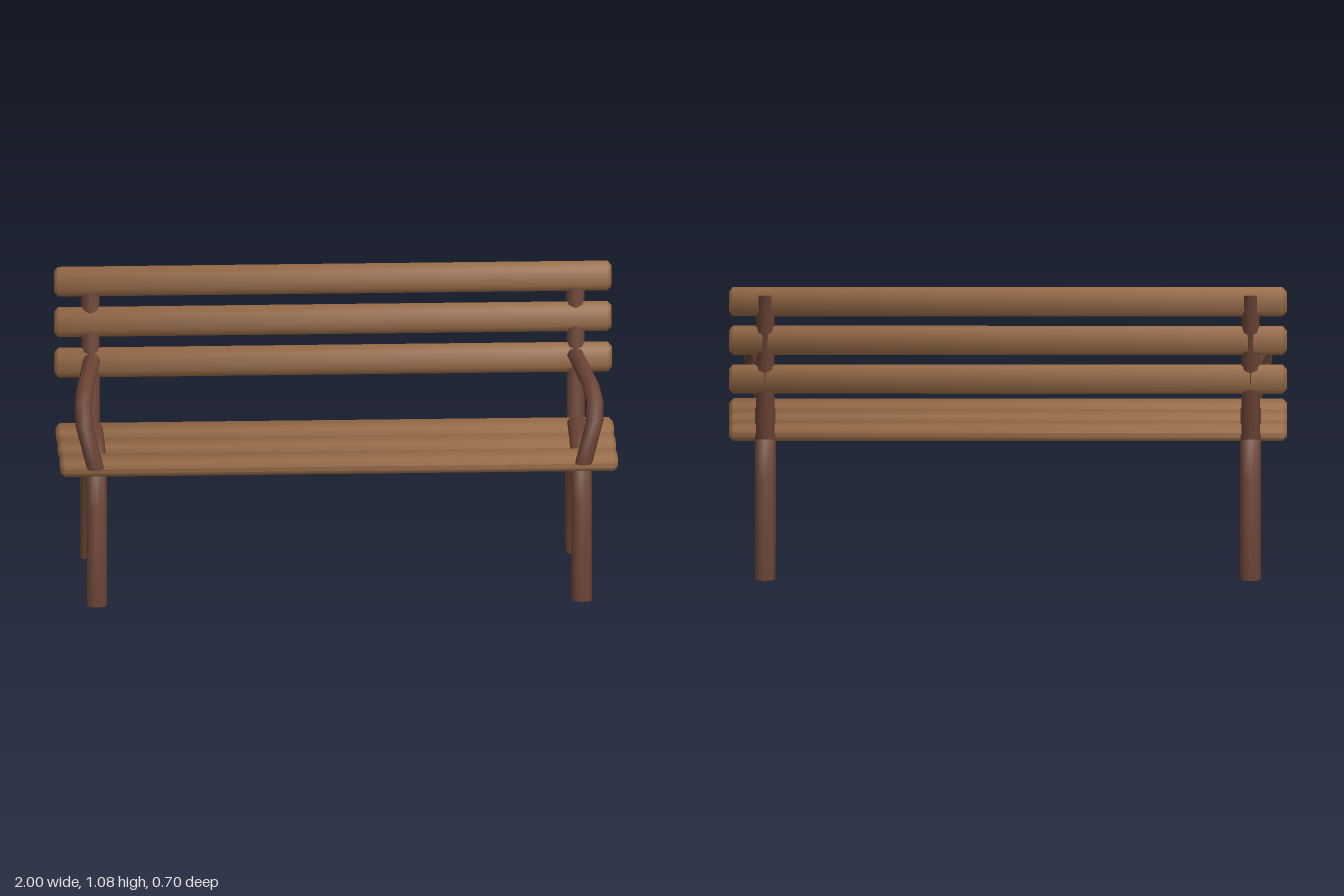
import * as THREE from 'three';
import { toCreasedNormals } from 'three/addons/utils/BufferGeometryUtils.js';

const CREASE = 1.3;

// Plank along x with chamfered long edges and bevelled ends
function plankGeometry(depth, height, chamferZ, chamferY) {
  const bevel = 0.015, length = 2;
  const w = depth / 2 - bevel, h = height / 2 - bevel;
  const cx = chamferZ - bevel * 0.59, cy = chamferY - bevel * 0.59;
  const shape = new THREE.Shape([
    [w, -h + cy], [w, h - cy], [w - cx, h], [-w + cx, h],
    [-w, h - cy], [-w, -h + cy], [-w + cx, -h], [w - cx, -h],
  ].map(([x, y]) => new THREE.Vector2(x, y)));
  const geo = new THREE.ExtrudeGeometry(shape, {
    depth: length - 2 * bevel, bevelEnabled: true,
    bevelThickness: bevel, bevelSize: bevel, bevelSegments: 1,
  });
  geo.translate(0, 0, -length / 2 + bevel);
  geo.rotateY(Math.PI / 2);
  return toCreasedNormals(geo, CREASE);
}

// Oval bar swept along points, mitred at each bend in the side plane
function barGeometry(points, halfX, halfIn, sides = 8) {
  const pos = [], index = [];
  const p = points.map((q) => new THREE.Vector3(...q));
  const dir = (a, b) => new THREE.Vector3(0, b.y - a.y, b.z - a.z).normalize();
  p.forEach((c, i) => {
    const before = dir(p[Math.max(i - 1, 0)], p[Math.max(i, 1)]);
    const last = p.length - 1;
    const after = dir(p[Math.min(i, last - 1)], p[Math.min(i + 1, last)]);
    const t = before.clone().add(after).normalize();
    const reach = halfIn / t.dot(after);
    for (let j = 0; j < sides; j++) {
      const a = (j / sides) * Math.PI * 2;
      const s = Math.sin(a) * reach;
      pos.push(c.x + Math.cos(a) * halfX, c.y + t.z * s, c.z - t.y * s);
    }
  });
  const end = (p.length - 1) * sides;
  for (let j = 0; j < sides; j++) {
    const k = (j + 1) % sides;
    for (let r = 0; r < end; r += sides) {
      index.push(r + j, r + k, r + sides + k, r + j, r + sides + k, r + sides + j);
    }
    if (j > 0 && j < sides - 1) index.push(0, k, j, end, end + j, end + k); // end caps
  }
  const geo = new THREE.BufferGeometry();
  geo.setAttribute('position', new THREE.Float32BufferAttribute(pos, 3));
  geo.setIndex(index);
  return toCreasedNormals(geo, CREASE);
}

export function createModel() {
  const bench = new THREE.Group();
  bench.name = 'bench';
  const wood = new THREE.MeshStandardMaterial({ color: 0x9a6d49 });
  wood.name = 'slat wood';
  const dark = new THREE.MeshStandardMaterial({ color: 0x6b4435 });
  dark.name = 'frame brown';

  const add = (name, geo, material, parent) => {
    const mesh = new THREE.Mesh(geo, material);
    mesh.name = name;
    parent.add(mesh);
    return mesh;
  };

  // Seat slats
  const seatGeo = plankGeometry(0.152, 0.052, 0.021, 0.019);
  [0.255, 0.065, -0.122].forEach((z) => {
    add('seatSlat', seatGeo, wood, bench).position.set(0, 0.512, z);
  });

  // Backrest slats, leaning back
  const backGeo = plankGeometry(0.047, 0.106, 0.017, 0.021);
  [[0.734, -0.276], [0.88, -0.296], [1.026, -0.314]].forEach(([y, z]) => {
    const slat = add('backSlat', backGeo, wood, bench);
    slat.position.set(0, y, z);
    slat.rotation.x = -0.14;
  });

  // Side frames, mirrored left and right
  [['left', 1], ['right', -1]].forEach(([side, s]) => {
    const frame = new THREE.Group();
    frame.name = side + 'Frame';
    bench.add(frame);
    const x = 0.87 * s;

    // One bent bar forms both legs and the seat support
    add('legs', barGeometry([
      [x, 0, 0.301], [x, 0.363, 0.304], [x, 0.495, 0.253], [x, 0.543, 0.11],
      [x, 0.543, -0.102], [x, 0.493, -0.247], [x, 0.363, -0.29], [x, 0, -0.278],
    ], 0.037, 0.0235), dark, frame);

    // Back post
    add('backPost', barGeometry([
      [x, 0.49, -0.238], [x, 1.057, -0.325],
    ], 0.033, 0.0245), dark, frame);

    // Armrest, bowed outward at the front
    add('armrest', barGeometry([
      [0.875 * s, 0.52, 0.325], [0.915 * s, 0.677, 0.325], [0.918 * s, 0.735, 0.281],
      [0.908 * s, 0.757, 0.149], [0.868 * s, 0.757, -0.223],
    ], 0.031, 0.027), dark, frame);
  });

  return bench;
}
